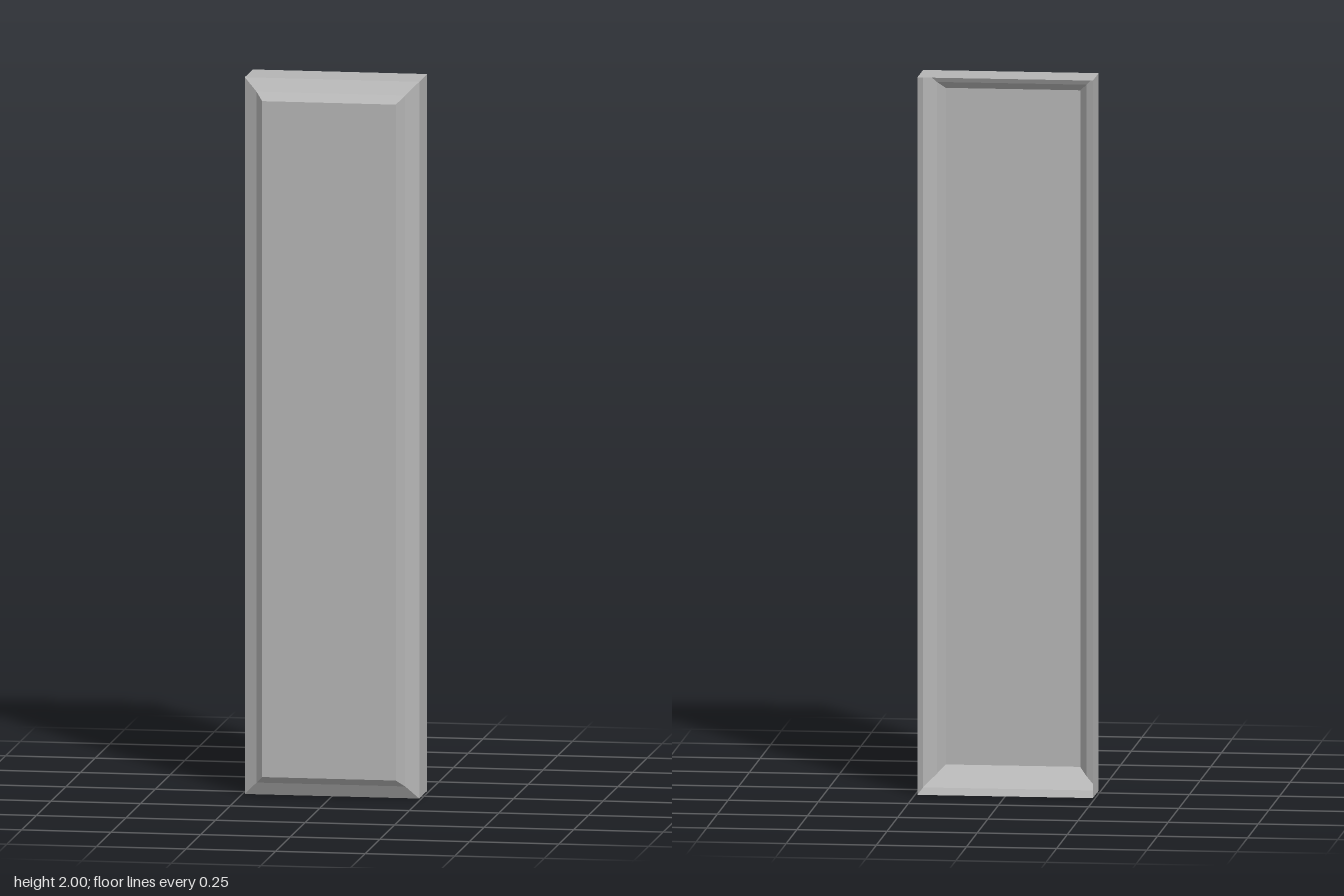
import * as THREE from 'three';

const WIDTH = 0.487, HEIGHT = 2;

// Rectangular ring, counter-clockwise from the front, inset from the outline
function ring([inset, z]) {
  const x = WIDTH / 2 - inset, low = inset, high = HEIGHT - inset;
  return [[-x, low, z], [x, low, z], [x, high, z], [-x, high, z]];
}

// Flat-faced band joining successive rings
function band(profile) {
  const rings = profile.map(ring), pos = [];
  for (let i = 0; i < rings.length - 1; i++) {
    for (let k = 0; k < 4; k++) {
      const n = (k + 1) % 4;
      const a = rings[i][k], b = rings[i][n], c = rings[i + 1][n], d = rings[i + 1][k];
      pos.push(...a, ...b, ...c, ...a, ...c, ...d);
    }
  }
  const geometry = new THREE.BufferGeometry();
  geometry.setAttribute('position', new THREE.Float32BufferAttribute(pos, 3));
  geometry.computeVertexNormals();
  return geometry;
}

export function createModel() {
  const group = new THREE.Group();
  group.name = 'panel';
  const grey = new THREE.MeshStandardMaterial({ color: 0xb4b4b4, side: THREE.DoubleSide, flatShading: true });
  grey.name = 'grey';

  const add = (name, geometry) => {
    const mesh = new THREE.Mesh(geometry, grey);
    mesh.name = name;
    group.add(mesh);
    return mesh;
  };

  const back = [0, -0.094], shoulder = [0, 0.041], cove = [0.036, 0.061], front = [0.057, 0.093];

  // Thin side walls, open at the back
  add('sideWalls', band([back, shoulder]));

  // Mitred cove moulding
  add('coveMoulding', band([shoulder, cove, front]));

  // Raised front face
  const inset = front[0];
  add('frontFace', new THREE.PlaneGeometry(WIDTH - 2 * inset, HEIGHT - 2 * inset))
    .position.set(0, HEIGHT / 2, front[1]);

  return group;
}
